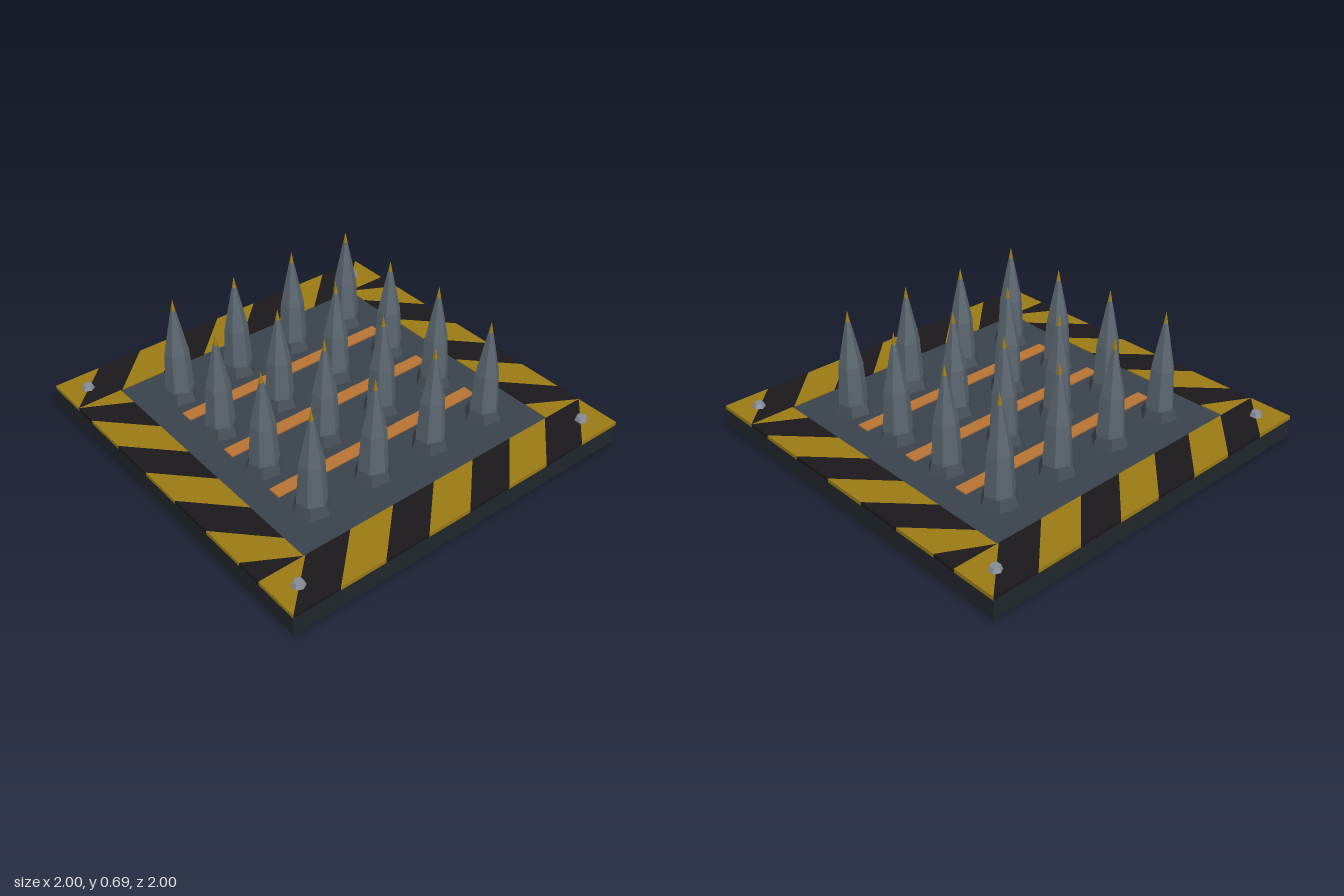
import * as THREE from 'three';

const mat = (color) => new THREE.MeshStandardMaterial({ color, flatShading: true });

export function createModel() {
  const model = new THREE.Group();
  const steel = mat(0x5a656e), collarSteel = mat(0x434c54), yellow = mat(0x9a7a15);
  const black = mat(0x1a181a), copper = mat(0xb87333), boltSteel = mat(0x858b96);

  const add = (name, geometry, material, x = 0, y = 0, z = 0, parent = model) => {
    const mesh = new THREE.Mesh(geometry, material);
    mesh.name = name;
    mesh.position.set(x, y, z);
    parent.add(mesh);
    return mesh;
  };

  // Base slab and centre plate
  add('baseSlab', new THREE.BoxGeometry(2, 0.1, 2), mat(0x20262b), 0, 0.05, 0);
  add('centrePlate', new THREE.BoxGeometry(1.52, 0.015, 1.52), mat(0x39434b), 0, 0.1075, 0);

  // Warning border: slanted stripes as thin prisms, clipped to the strip ends
  const IN = 0.76, STEP = 0.25;
  const stripePrism = (points) => {
    const pts = points.filter((p, i) => {
      const q = points[(i + 1) % points.length];
      return Math.hypot(p[0] - q[0], p[1] - q[1]) > 1e-4;
    });
    if (pts.length < 3) return null;
    const shape = new THREE.Shape(pts.map(([x, z]) => new THREE.Vector2(x, -z)));
    return new THREE.ExtrudeGeometry(shape, { depth: 0.02, bevelEnabled: false }).rotateX(-Math.PI / 2);
  };
  const border = (name, near, far, half, start, shift, alongX, firstYellow) => {
    const group = new THREE.Group();
    group.name = name;
    const clip = (v) => THREE.MathUtils.clamp(v, -half, half);
    for (let i = 0, b = start; b < half + STEP - 0.01; i++, b += STEP) {
      const quad = [
        [clip(b), near], [clip(b + STEP), near],
        [clip(b + STEP + shift), far], [clip(b + shift), far],
      ].map(([t, s]) => (alongX ? [t, s] : [s, t]));
      const geometry = stripePrism(quad);
      const isYellow = (i % 2 === 0) === firstYellow;
      if (geometry) add(isYellow ? 'yellowStripe' : 'blackStripe', geometry, isYellow ? yellow : black, 0, 0.1, 0, group);
    }
    model.add(group);
  };
  border('backBorder', -1, -IN, 1, -1, -STEP, true, true);
  border('frontBorder', IN, 1, 1, -1, -STEP, true, true);
  border('rightBorder', -1, -IN, IN, -1.13, STEP, false, true);
  border('leftBorder', IN, 1, IN, -1.13, STEP, false, false);

  // Copper bars between the spike rows
  for (const z of [-0.365, -0.005, 0.36]) {
    add('copperBar', new THREE.BoxGeometry(1.24, 0.015, 0.07), copper, 0, 0.1145, z);
  }

  // Hexagonal corner bolts
  const boltGeo = new THREE.CylinderGeometry(0.024, 0.034, 0.024, 6);
  for (const x of [-0.88, 0.88]) for (const z of [-0.88, 0.88]) add('cornerBolt', boltGeo, boltSteel, x, 0.131, z);

  // Spikes: flared collar, faceted shaft and painted point
  const lathe = (points) => new THREE.LatheGeometry(points.map(([r, y]) => new THREE.Vector2(r, y)), 6);
  const collarGeo = lathe([[0.1, 0], [0.08, 0.06], [0.001, 0.06]]);
  const shaftGeo = lathe([[0.075, 0.05], [0.062, 0.27], [0.02, 0.48], [0.012, 0.515]]);
  const tipGeo = lathe([[0.012, 0.515], [0.0005, 0.575]]);
  const places = [-0.54, -0.18, 0.18, 0.54];
  places.forEach((x, i) => places.forEach((z, j) => {
    const spike = new THREE.Group();
    spike.name = 'spike';
    add('collar', collarGeo, collarSteel, 0, 0, 0, spike).rotation.y = 0.2;
    add('shaft', shaftGeo, steel, 0, 0, 0, spike);
    add('paintedPoint', tipGeo, yellow, 0, 0, 0, spike);
    spike.position.set(x, 0.11, z);
    spike.rotation.y = 0.1;
    spike.scale.y = 0.965 + 0.018 * ((i * 2 + j * 3) % 4 === 0 ? 2 : (i + j) % 2);
    model.add(spike);
  }));

  return model;
}
